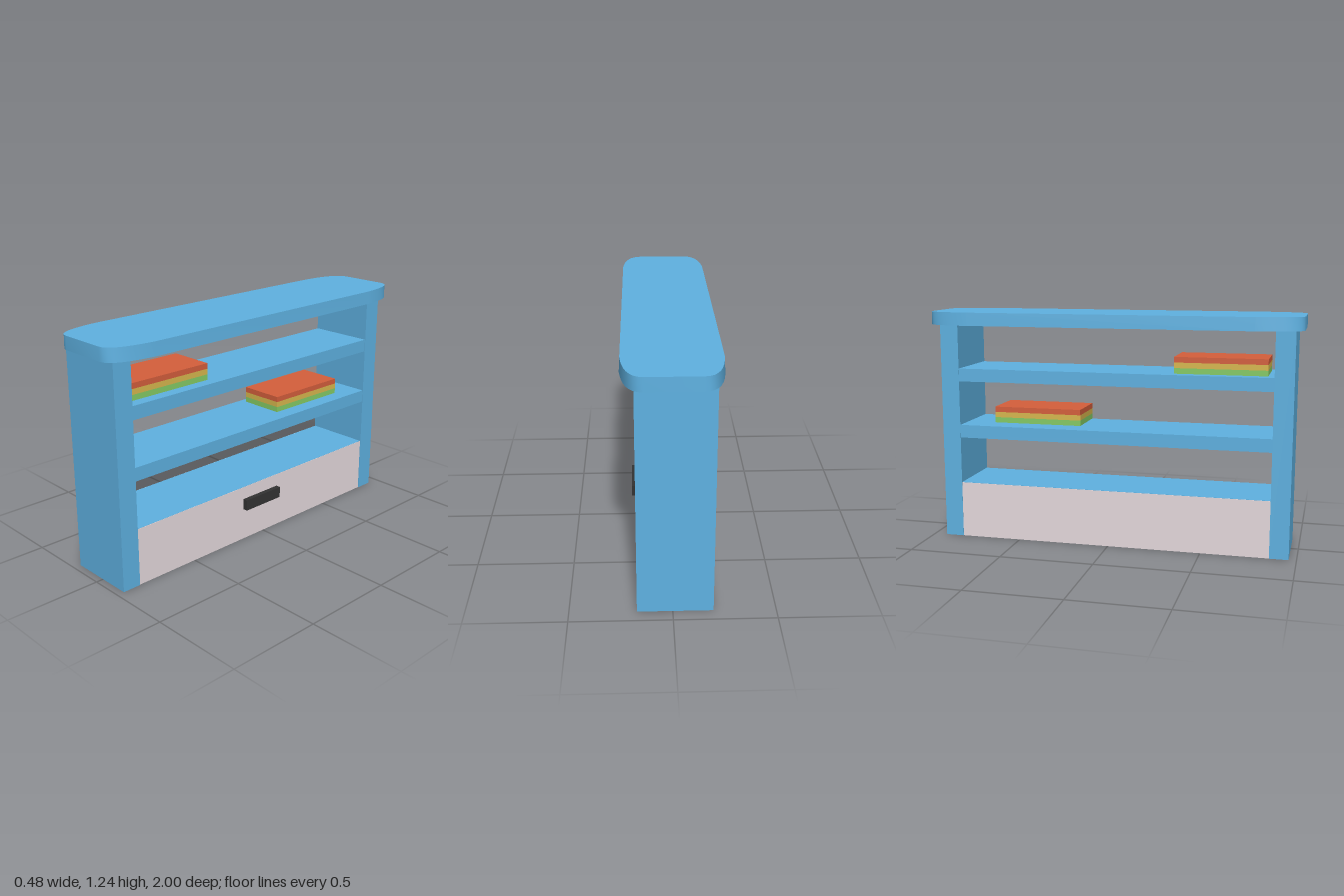
import * as THREE from 'three';
import { toCreasedNormals } from 'three/addons/utils/BufferGeometryUtils.js';

const paint = (color, side = THREE.FrontSide) => new THREE.MeshStandardMaterial({ color, side });
const blue = paint(0x5fb2e2);
const blueOpen = paint(0x5fb2e2, THREE.DoubleSide);
const pale = paint(0xe6dade);
const dark = paint(0x333333);
const bookPaints = [paint(0x86cc66), paint(0xd9b84e), paint(0xd65f3c)];

// Box given by its limits along each axis
function block(name, [x0, x1], [y0, y1], [z0, z1], material) {
  const mesh = new THREE.Mesh(new THREE.BoxGeometry(x1 - x0, y1 - y0, z1 - z0), material);
  mesh.position.set((x0 + x1) / 2, (y0 + y1) / 2, (z0 + z1) / 2);
  mesh.name = name;
  return mesh;
}

// Long top board with softly rounded corners, a little narrower at its upper face
function topBoard() {
  const corner = new THREE.CubicBezierCurve(
    new THREE.Vector2(0.238, 0.76), new THREE.Vector2(0.228, 0.9),
    new THREE.Vector2(0.2, 1), new THREE.Vector2(0.13, 1)).getPoints(8);
  const mirror = (sx, sy) => corner.map(p => new THREE.Vector2(p.x * sx, p.y * sy));
  const outline = [...corner, ...mirror(-1, 1).reverse(), ...mirror(-1, -1), ...mirror(1, -1).reverse()];
  const geometry = new THREE.ExtrudeGeometry(new THREE.Shape(outline), { depth: 0.07, bevelEnabled: false });
  geometry.rotateX(-Math.PI / 2);
  const pos = geometry.attributes.position;
  for (let i = 0; i < pos.count; i++) {
    if (pos.getY(i) > 0.035) pos.setX(i, pos.getX(i) * 0.985);
  }
  const mesh = new THREE.Mesh(toCreasedNormals(geometry, 0.6), blue);
  mesh.position.y = 1.172;
  mesh.name = 'topBoard';
  return mesh;
}

// Hollow end panel, open underneath
function endPanel(name, z) {
  const mesh = block(name, [-0.197, 0.173], [0, 1.172], z, blueOpen);
  const index = Array.from(mesh.geometry.index.array);
  index.splice(18, 6);
  mesh.geometry.setIndex(index);
  mesh.geometry.clearGroups();
  return mesh;
}

// Three flat books lying on one another
function bookStack(name, y, z) {
  const stack = new THREE.Group();
  stack.name = name;
  bookPaints.forEach((material, i) => {
    stack.add(block('book', [-0.135, 0.11], [y + i * 0.029, y + (i + 1) * 0.029], z, material));
  });
  return stack;
}

export function createModel() {
  const model = new THREE.Group();
  model.name = 'bookcase';
  const depth = [-0.195, 0.17];
  const span = [-0.832, 0.862];

  // Frame
  model.add(topBoard());
  model.add(endPanel('frontEndPanel', [0.86, 0.96]));
  model.add(endPanel('backEndPanel', [-0.93, -0.83]));

  // Shelves
  model.add(block('upperShelf', depth, [0.868, 0.938], span, blue));
  model.add(block('lowerShelf', depth, [0.558, 0.628], span, blue));

  // Drawer unit with a pale face on both long sides
  model.add(block('drawerCase', [-0.193, 0.168], [0, 0.306], span, blue));
  model.add(block('drawerFace', [0.168, 0.17], [0, 0.305], span, pale));
  model.add(block('drawerBack', [-0.195, -0.193], [0, 0.305], span, pale));
  model.add(block('drawerHandle', [0.17, 0.196], [0.176, 0.236], [-0.107, 0.147], dark));

  // Books
  model.add(bookStack('upperBooks', 0.938, [0.34, 0.824]));
  model.add(bookStack('lowerBooks', 0.64, [-0.648, -0.165]));
  return model;
}
